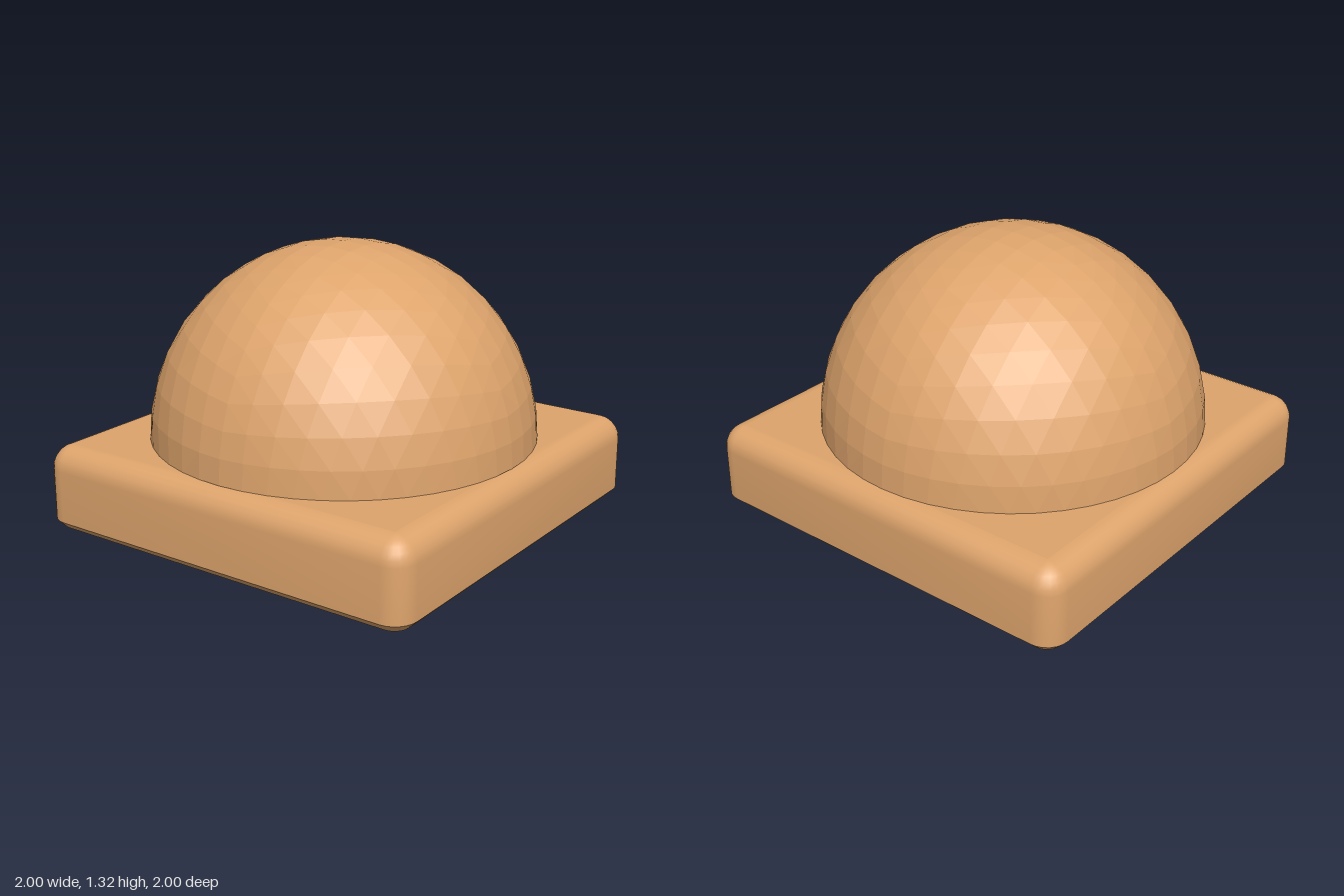
import * as THREE from 'three';
import { toCreasedNormals } from 'three/addons/utils/BufferGeometryUtils.js';

const CORNER = 0.11;        // plate edge and corner radius
const CORE = 1 - CORNER;    // half width of the plate inside its rounding
const CAVITY = 0.85;        // half width of the hollow underneath
const CEILING = 0.28;       // height of the hollow's ceiling
const DOME_RADIUS = 0.917;
const DOME_STEPS = 12;      // facets per quarter turn

// Skin rounded-square rows [half width of core, corner radius, y]
function loft(rows, steps = 6) {
  const pos = [], index = [];
  for (const [core, r, y] of rows) {
    for (let q = 0; q < 4; q++) {
      const mid = (q + 0.5) * Math.PI / 2;
      const cx = core * Math.sign(Math.cos(mid)), cz = core * Math.sign(Math.sin(mid));
      for (let s = 0; s <= steps; s++) {
        const a = (q + s / steps) * Math.PI / 2;
        pos.push(cx + r * Math.cos(a), y, cz + r * Math.sin(a));
      }
    }
  }
  const n = 4 * (steps + 1);
  for (let i = 0; i < rows.length - 1; i++) {
    for (let j = 0; j < n; j++) {
      const a = i * n + j, b = i * n + (j + 1) % n;
      index.push(a, a + n, b, a + n, b + n, b);
    }
  }
  const g = new THREE.BufferGeometry();
  g.setAttribute('position', new THREE.Float32BufferAttribute(pos, 3));
  g.setIndex(index);
  return toCreasedNormals(g, 0.5);
}

// Faceted half sphere: octahedron faces spaced by equal arcs
function domeGeometry() {
  const src = new THREE.OctahedronGeometry(1, DOME_STEPS - 1).getAttribute('position');
  const pos = [], v = new THREE.Vector3();
  const arc = t => Math.sin(t * Math.PI / 2);
  for (let i = 0; i < src.count; i += 3) {
    if (src.getY(i) + src.getY(i + 1) + src.getY(i + 2) < 0) continue;
    for (let k = 0; k < 3; k++) {
      v.fromBufferAttribute(src, i + k);
      v.divideScalar(Math.abs(v.x) + Math.abs(v.y) + Math.abs(v.z));
      v.set(arc(v.x), arc(v.y), arc(v.z)).setLength(DOME_RADIUS);
      pos.push(v.x, v.y, v.z);
    }
  }
  const g = new THREE.BufferGeometry();
  g.setAttribute('position', new THREE.Float32BufferAttribute(pos, 3));
  g.computeVertexNormals();
  return g;
}

export function createModel() {
  const group = new THREE.Group();
  const tan = new THREE.MeshStandardMaterial({ color: 0xdea46c });
  tan.name = 'warm tan';
  const add = (name, geometry) => {
    const mesh = new THREE.Mesh(geometry, tan);
    mesh.name = name;
    group.add(mesh);
    return mesh;
  };

  // Plate sides: bottom chamfer, upright wall, rounded top edge
  const sides = [[CORE, CORNER - 0.04, 0], [CORE, CORNER, 0.04]];
  for (let i = 0; i <= 6; i++) {
    const a = i / 6 * Math.PI / 2;
    sides.push([CORE, CORNER * Math.cos(a), 0.4 - CORNER + CORNER * Math.sin(a)]);
  }
  add('plateSides', loft(sides));
  add('plateTop', loft([[CORE, 0, 0.4], [0, 0, 0.4]]));

  // Hollow underside: ceiling, inner walls and bottom rim
  add('plateUnderside', loft([
    [0, 0, CEILING], [CAVITY, 0, CEILING], [CAVITY, 0, 0], [CORE, CORNER - 0.04, 0],
  ]));

  // Round tube hanging inside the hollow
  const tube = [[0.275, CEILING], [0.275, 0], [0.45, 0], [0.45, CEILING]]
    .map(([x, y]) => new THREE.Vector2(x, y));
  add('undersideTube', toCreasedNormals(new THREE.LatheGeometry(tube, 48), 0.5));

  // Dome on top
  add('dome', domeGeometry()).position.y = 0.4;

  return group;
}
